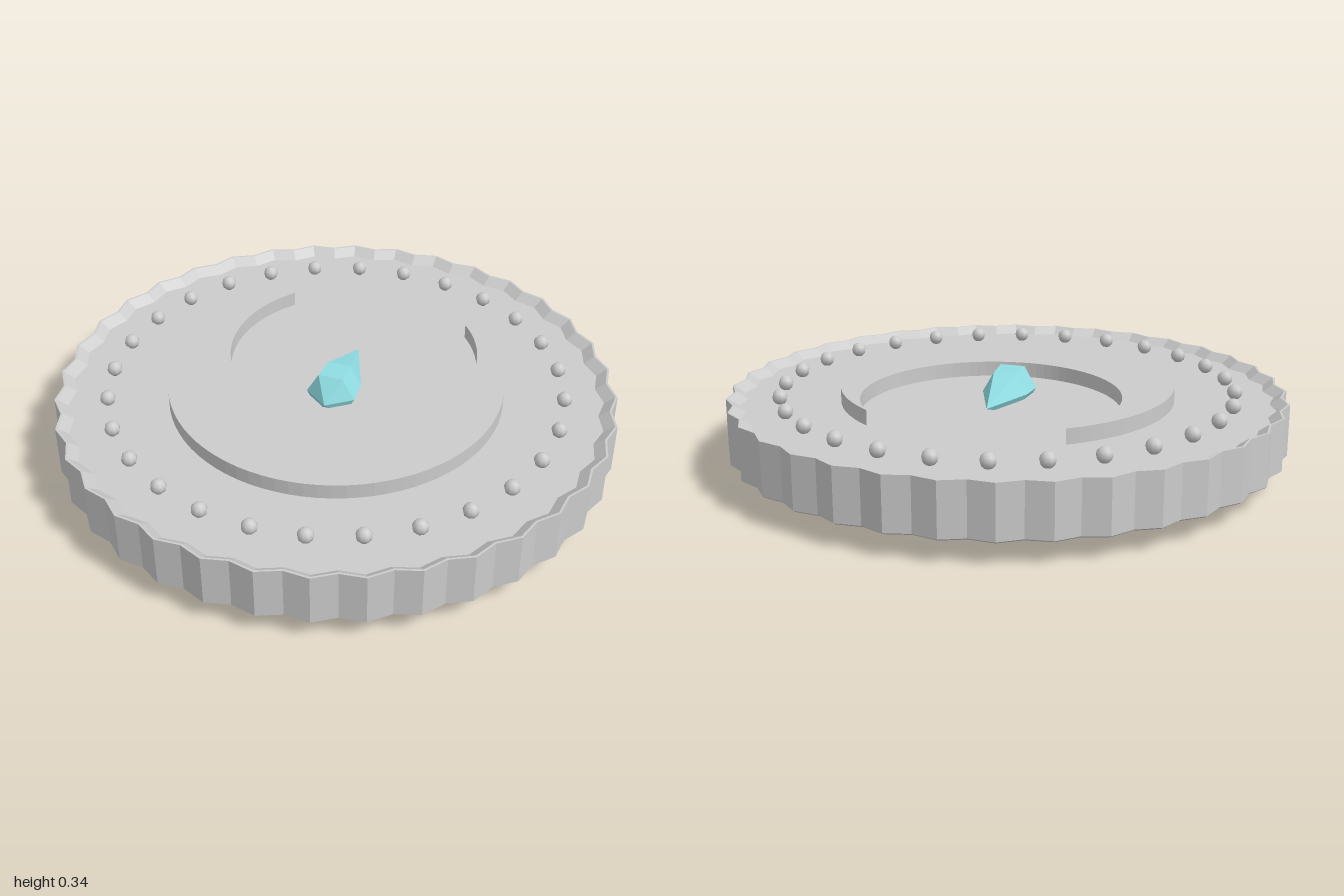
import * as THREE from 'three';

const MID = 0.172; // height of the disc's middle plane

function material(color = 0xcccccc, flatShading = false) {
  return new THREE.MeshStandardMaterial({ color, flatShading });
}

// Disc with a fluted edge and a raised rim on both faces
function makeDisc() {
  const profile = [
    [0, -0.07], [0.85, -0.07], [0.905, -0.097], [0.99, -0.097], [1, -0.09],
    [1, 0.097], [0.992, 0.097], [0.955, 0.07], [0, 0.07],
  ].map(([r, y]) => new THREE.Vector2(r, y));
  const geometry = new THREE.LatheGeometry(profile, 72);
  const p = geometry.attributes.position;
  for (let i = 0; i < p.count; i++) {
    const x = p.getX(i), z = p.getZ(i);
    const flute = 0.992 - 0.012 * Math.cos(36 * Math.atan2(x, z));
    p.setXYZ(i, x * flute, p.getY(i), z * flute);
  }
  const disc = new THREE.Mesh(geometry, material(0xcccccc, true));
  disc.name = 'flutedDisc';
  return disc;
}

// Crescent opening toward the back, running through the disc
function makeCrescent() {
  const outerR = 0.6, innerR = 0.455, offset = 0.195;
  const tipY = (outerR ** 2 - innerR ** 2 + offset ** 2) / (2 * offset);
  const tipX = Math.sqrt(outerR ** 2 - tipY ** 2);
  const a = Math.atan2(tipY, tipX);
  const b = Math.atan2(tipY - offset, tipX);
  const shape = new THREE.Shape();
  shape.absarc(0, 0, outerR, Math.PI - a, 2 * Math.PI + a, false);
  shape.absarc(0, offset, innerR, b, -Math.PI - b, true);
  const depth = 0.25;
  const geometry = new THREE.ExtrudeGeometry(shape, { depth, bevelEnabled: false, curveSegments: 32 });
  geometry.translate(0, 0, -depth / 2);
  geometry.rotateX(-Math.PI / 2);
  const crescent = new THREE.Mesh(geometry, material());
  crescent.name = 'crescent';
  return crescent;
}

// Six-sided drop-shaped gem, point toward the back
function makeGem(name) {
  const profile = [[0, -0.127], [0.09, -0.06], [0.083, 0.035], [0, 0.25]]
    .map(([r, y]) => new THREE.Vector2(r, y));
  const geometry = new THREE.LatheGeometry(profile, 6, Math.PI / 6);
  geometry.rotateX(-Math.PI / 2);
  const gem = new THREE.Mesh(geometry, material(0x8fdde3, true));
  gem.name = name;
  return gem;
}

// Ring of small beads on one face
function makeBeads(name, y) {
  const ring = new THREE.Group();
  ring.name = name;
  const geometry = new THREE.SphereGeometry(0.028, 8, 6);
  const beadMaterial = material();
  const count = 28;
  for (let i = 0; i < count; i++) {
    const t = (i / count) * Math.PI * 2;
    const bead = new THREE.Mesh(geometry, beadMaterial);
    bead.name = 'bead';
    bead.position.set(0.815 * Math.sin(t), y, 0.815 * Math.cos(t));
    ring.add(bead);
  }
  return ring;
}

export function createModel() {
  const model = new THREE.Group();
  model.name = 'medallion';
  const body = new THREE.Group();
  body.name = 'body';
  body.position.y = MID;

  const topGem = makeGem('topGem');
  topGem.position.y = 0.09;

  // The lower gem is turned over, its point toward the front
  const bottomGem = makeGem('bottomGem');
  bottomGem.rotation.x = Math.PI;
  bottomGem.position.set(0, -0.094, 0.11);

  body.add(
    makeDisc(), makeCrescent(), topGem, bottomGem,
    makeBeads('topBeads', 0.1), makeBeads('bottomBeads', -0.1),
  );
  model.add(body);
  return model;
}
